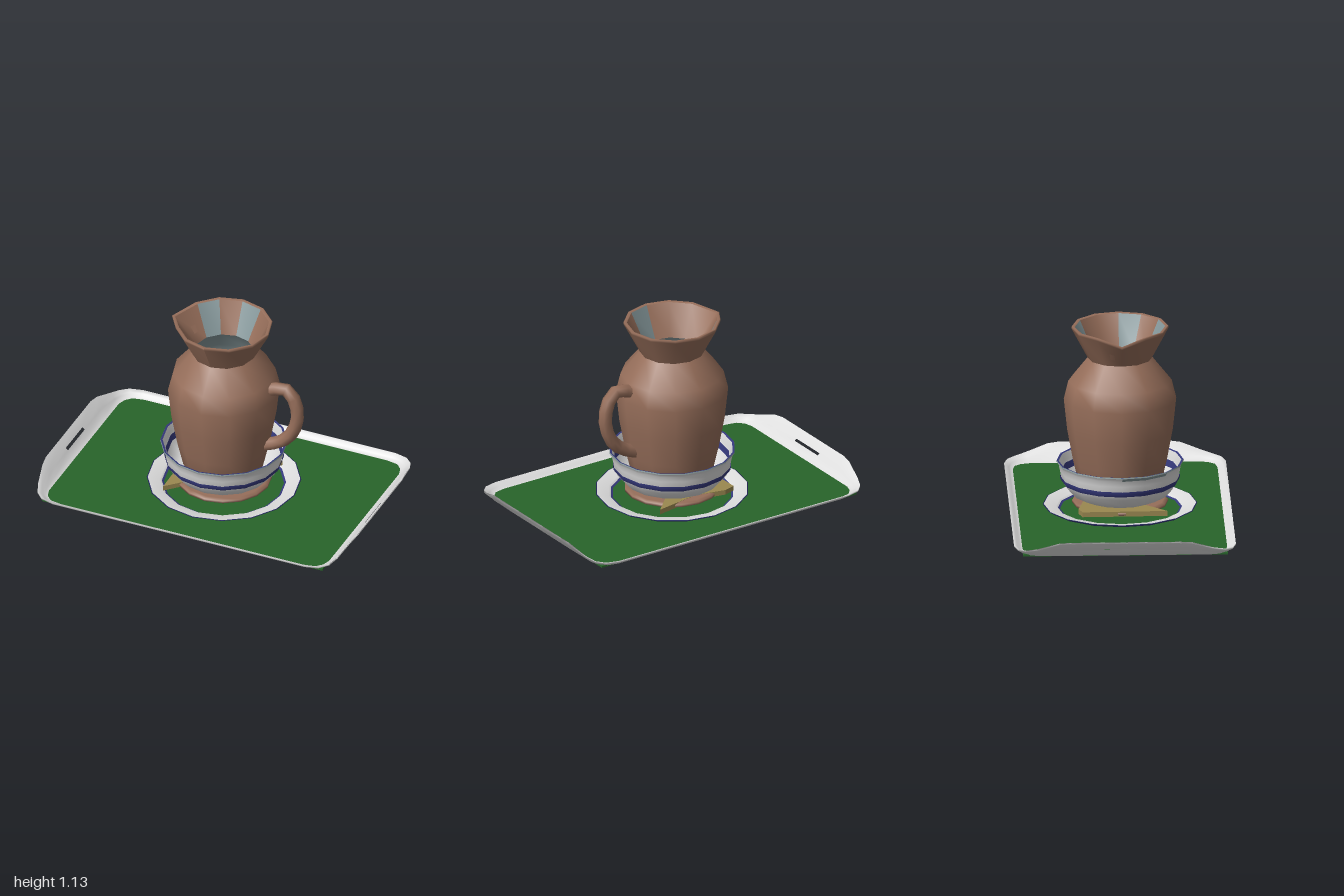
import * as THREE from 'three';

const mat = (name, color) => {
  const m = new THREE.MeshStandardMaterial({ color, side: THREE.DoubleSide });
  m.name = name;
  return m;
};
const clay = mat('clay', 0x966e5a);
const white = mat('white enamel', 0xdddddd);
const green = mat('green', 0x28642a);
const blue = mat('blue', 0x35397c);
const bread = mat('bread', 0x9a8850);
const glaze = mat('grey glaze', 0x85979a);

export function createModel() {
  const group = new THREE.Group();
  const add = (name, geo, material, y = 0) => {
    const mesh = new THREE.Mesh(geo, material);
    mesh.name = name;
    mesh.position.y = y;
    group.add(mesh);
  };
  const lathe = (pts, sides, start = 0, sweep = Math.PI * 2) =>
    new THREE.LatheGeometry(pts.map(([r, y]) => new THREE.Vector2(r, y)), sides, start, sweep);

  // Tray outline, one quarter: outer x, outer z, outer y, inner x, inner z
  const quarter = [
    [1, 0, 0.115, 0.9, 0], [1, 0.125, 0.115, 0.9, 0.125], [1, 0.32, 0.115, 0.9, 0.32],
    [0.99, 0.39, 0.108, 0.9, 0.39], [0.96, 0.52, 0.065, 0.9, 0.5], [0.935, 0.585, 0.05, 0.885, 0.55],
    [0.89, 0.63, 0.046, 0.85, 0.587], [0.81, 0.65, 0.045, 0.78, 0.6], [0, 0.65, 0.045, 0, 0.6],
  ];
  const flip = (p, sx, sz) => [p[0] * sx, p[1] * sz, p[2], p[3] * sx, p[4] * sz];
  const outline = [
    ...quarter,
    ...quarter.slice(0, -1).reverse().map((p) => flip(p, -1, 1)),
    ...quarter.slice(1).map((p) => flip(p, -1, -1)),
    ...quarter.slice(1, -1).reverse().map((p) => flip(p, 1, -1)),
  ];
  const n = outline.length;

  // Tray rim: loops [outward, upward, drop] up the inside and down the outside, with grip slots left out
  const rise = [[0, 0], [0.25, 0.12], [0.46, 0.42], [0.64, 0.58], [1, 1]];
  const steps = [...rise.map(([u, v]) => [u, v, 0]), ...rise.slice().reverse().map(([u, v]) => [u, v, 0.01])];
  const pos = [], idx = [];
  for (const [u, v, drop] of steps) {
    for (const [ox, oz, oy, ix, iz] of outline) {
      pos.push(ix + (ox - ix) * u, 0.014 + (oy - 0.014) * v - drop, iz + (oz - iz) * u);
    }
  }
  for (let k = 0; k < steps.length - 1; k++) {
    for (let i = 0; i < n; i++) {
      const j = (i + 1) % n;
      const inSlot = [i, j].every((q) => Math.abs(outline[q][0]) === 1 && Math.abs(outline[q][1]) < 0.13);
      if (inSlot && (k === 2 || k === 6)) continue;
      const a = k * n + i, b = k * n + j;
      idx.push(a, b + n, b, a, a + n, b + n);
    }
  }
  const rim = new THREE.BufferGeometry();
  rim.setAttribute('position', new THREE.Float32BufferAttribute(pos, 3));
  rim.setIndex(idx);
  rim.computeVertexNormals();
  add('trayRim', rim, white);

  // Flat tray floor and underside; the square corners of the green base show under the rim
  const shapeOf = (pts) => new THREE.Shape(pts.map(([x, z]) => new THREE.Vector2(x, -z)));
  const flat = (pts) => new THREE.ShapeGeometry(shapeOf(pts)).rotateX(-Math.PI / 2);
  const flatDown = (pts) => flat(pts.map(([x, z]) => [x, -z])).rotateX(Math.PI);
  const floorPts = outline.map((p) => [p[3], p[4]]);
  add('trayFloor', flat(floorPts), green, 0.0145);
  add('trayUnderside', flatDown(floorPts), white, 0.004);
  const base = shapeOf([[0.9, 0.6], [-0.9, 0.6], [-0.9, -0.6], [0.9, -0.6]]);
  base.holes.push(shapeOf(floorPts.map(([x, z]) => [x * 0.985, z * 0.985])));
  add('trayBaseEdge', new THREE.ExtrudeGeometry(base, { depth: 0.011, bevelEnabled: false })
    .rotateX(-Math.PI / 2), green, 0.003);
  add('undersidePaint', flatDown([[0.88, 0.59], [-0.75, 0.59], [0.05, 0.05]]), green, 0.002);
  add('undersidePatch', flatDown([[0, 0], [-0.23, -0.28], [-0.34, 0.1]]), bread, 0.002);
  add('saucerFoot', lathe([[0.035, 0.002], [0.03, 0], [0, 0]], 12), blue);

  // Saucer ring with blue edges
  add('saucer', lathe([[0.36, 0.018], [0.375, 0.032], [0.447, 0.046]], 16), white);
  add('saucerEdge', lathe([[0.447, 0.046], [0.453, 0.044], [0.43, 0.03], [0.37, 0.015]], 16), blue);
  add('saucerInnerLine', lathe([[0.352, 0.016], [0.364, 0.022]], 16), blue);

  // Bread wedge and round filling under the bowl
  const slice = shapeOf([[-0.27, 0.27], [-0.28, -0.23], [-0.21, -0.25], [-0.02, -0.21], [0.26, -0.26]]);
  add('breadSlice', new THREE.ExtrudeGeometry(slice, { depth: 0.03, bevelEnabled: false })
    .rotateX(-Math.PI / 2), bread, 0.047);
  add('roundFilling', lathe([[0, 0.045], [0.26, 0.045], [0.28, 0.053], [0.28, 0.068], [0.26, 0.076],
    [0, 0.076]], 16), clay);

  // Bowl with a blue lip and a blue line inside and out
  add('bowlOutside', lathe([[0, 0.075], [0.2, 0.075], [0.28, 0.11], [0.325, 0.16], [0.345, 0.205],
    [0.352, 0.25], [0.36, 0.285], [0.374, 0.305]], 16), white);
  add('bowlRimGlaze', lathe([[0.374, 0.305], [0.372, 0.312]], 16), glaze);
  add('bowlGlazePatch', lathe([[0.3635, 0.287], [0.375, 0.305]], 2, Math.PI * 1.5, Math.PI / 4), glaze);
  add('bowlLip', lathe([[0.372, 0.312], [0.36, 0.309]], 16), blue);
  add('bowlInside', lathe([[0.36, 0.309], [0.347, 0.27], [0.335, 0.21], [0.27, 0.125], [0, 0.09]], 16), white);
  add('bowlBand', lathe([[0.341, 0.184], [0.35, 0.2], [0.3515, 0.217]], 16), blue);
  add('bowlInnerBand', lathe([[0.342, 0.255], [0.333, 0.215]], 16), blue);

  // Jug body and lining
  add('jugBody', lathe([[0, 0.1], [0.19, 0.1], [0.24, 0.16], [0.275, 0.31], [0.31, 0.5], [0.33, 0.69],
    [0.303, 0.8], [0.19, 0.94]], 12), clay);
  add('jugLining', lathe([[0.175, 0.94], [0.28, 0.8], [0.305, 0.69], [0.25, 0.31], [0.17, 0.17],
    [0.13, 0.155], [0.1, 0.14], [0.08, 0.12], [0, 0.12]], 12), glaze);

  // Flared neck, with the rim point at -x pulled out into a spout
  const pullSpout = (geo) => {
    const p = geo.attributes.position;
    for (let i = 0; i < p.count; i++) {
      if (p.getY(i) > 1 && p.getX(i) < -0.2 && Math.abs(p.getZ(i)) < 0.02) {
        p.setX(i, p.getX(i) - 0.048);
        p.setY(i, p.getY(i) - 0.03);
      }
    }
    geo.computeVertexNormals();
    return geo;
  };
  add('jugNeck', pullSpout(lathe([[0.19, 0.94], [0.283, 1.115], [0.286, 1.128], [0.28, 1.133],
    [0.265, 1.128]], 12)), clay);
  // Glaze shows on some facets inside the neck
  const inner = pullSpout(lathe([[0.265, 1.128], [0.175, 0.94]], 12));
  for (let s = 0; s < 12; s++) inner.addGroup(s * 6, 6, [0, 2, 5, 7].includes(s) ? 1 : 0);
  add('jugNeckInside', inner, [clay, glaze]);

  // Handle
  const path = new THREE.CatmullRomCurve3([[0.27, 0.74], [0.33, 0.765], [0.4, 0.775], [0.45, 0.72],
    [0.472, 0.6], [0.43, 0.47], [0.36, 0.4], [0.26, 0.355]].map(([x, y]) => new THREE.Vector3(x, y, 0)));
  add('jugHandle', new THREE.TubeGeometry(path, 10, 0.04, 8), clay);

  return group;
}
